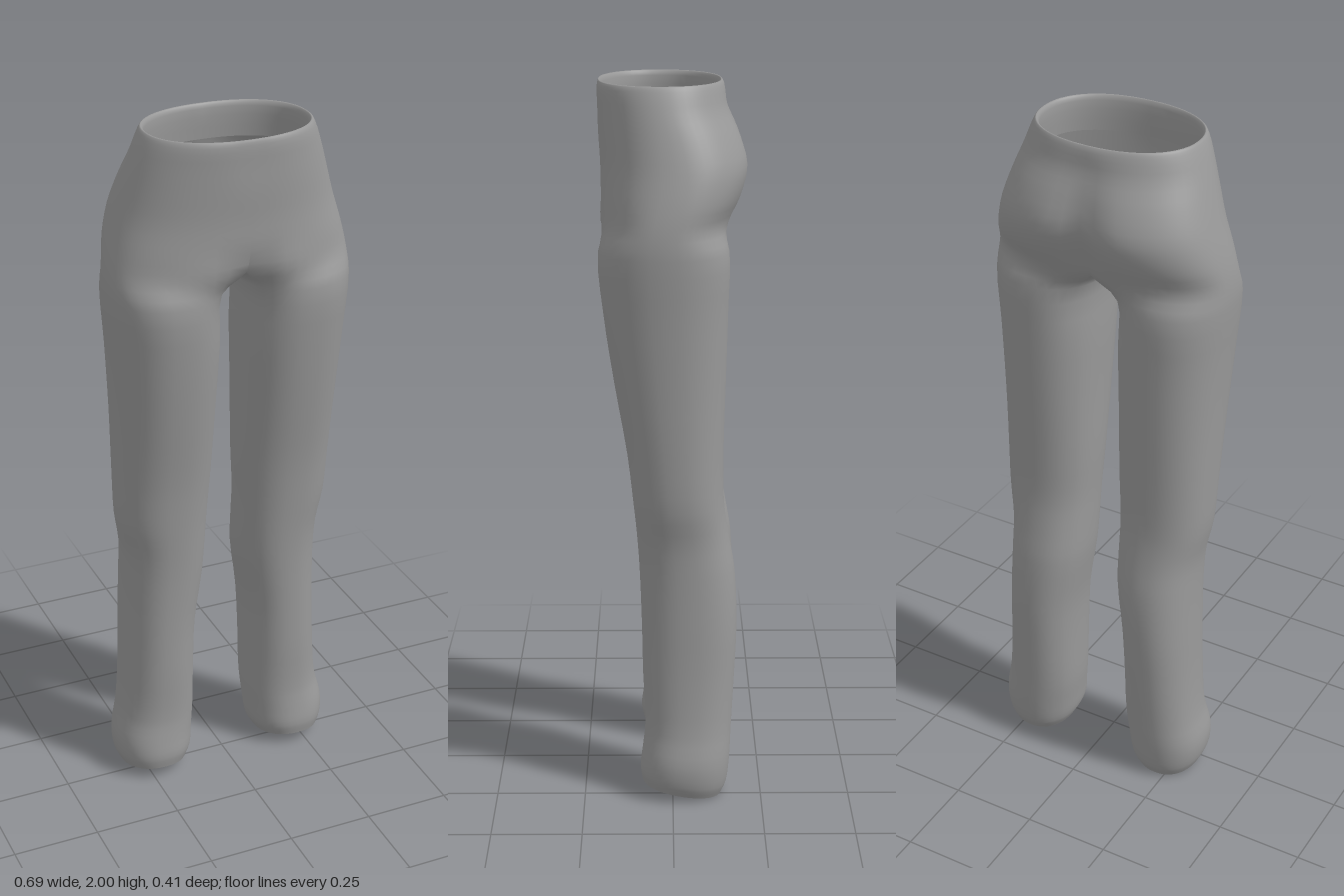
import * as THREE from 'three';
import { mergeVertices } from 'three/addons/utils/BufferGeometryUtils.js';

// hip rows: y, half width, front z, back z, squareness, front dent, back cleft
const HIPS = [
  [1.9, 0.226, 0.19, -0.13, 2.2, 0, 0],
  [1.985, 0.221, 0.193, -0.126, 2.2, 0, 0],
  [2.0, 0.229, 0.2, -0.133, 2.2, 0, 0],
  [1.985, 0.239, 0.207, -0.141, 2.2, 0.003, 0],
  [1.93, 0.26, 0.206, -0.155, 2.2, 0.003, 0.008],
  [1.86, 0.283, 0.202, -0.188, 2.3, 0, 0.022],
  [1.78, 0.307, 0.197, -0.21, 2.4, 0, 0.033],
  [1.7, 0.329, 0.197, -0.19, 2.5, 0.004, 0.035],
  [1.63, 0.342, 0.2, -0.157, 2.5, 0.03, 0.03],
];
// leg rows: y, inner x, outer x, front z, back z
const LEGS = [
  [1.56, 0.03, 0.346, 0.2, -0.152],
  [1.4, 0.035, 0.336, 0.189, -0.15],
  [1.2, 0.041, 0.326, 0.16, -0.145],
  [1.0, 0.046, 0.32, 0.126, -0.14],
  [0.86, 0.054, 0.314, 0.11, -0.142],
  [0.76, 0.057, 0.297, 0.1, -0.156],
  [0.66, 0.062, 0.294, 0.093, -0.173],
  [0.5, 0.084, 0.297, 0.087, -0.18],
  [0.35, 0.09, 0.302, 0.084, -0.174],
  [0.2, 0.092, 0.315, 0.078, -0.166],
  [0.12, 0.1, 0.333, 0.086, -0.161],
  [0.06, 0.108, 0.329, 0.092, -0.152],
  [0.025, 0.125, 0.315, 0.086, -0.138],
];
const OUTER = 28, INNER = 12, SUB = 3, WRAP = 0.9;

const bend = (v, n) => Math.sign(v) * Math.abs(v) ** (2 / n);

function hipPoint([y, w, front, back, n, dent, cleft], t) {
  const a = Math.PI * t;
  const x = t === 0 || t === 1 ? 0 : w * bend(Math.sin(a), n);
  const groove = Math.exp(-((x / 0.06) ** 2));
  let z = (front + back) / 2 + ((front - back) / 2) * bend(Math.cos(a), n);
  z += t < 0.5 ? -dent * groove : cleft * groove;
  return new THREE.Vector3(x, y, z);
}

function legPoint([y, inX, outX, front, back], a) {
  const x = (inX + outX) / 2 + ((outX - inX) / 2) * bend(Math.sin(a), 2.25);
  const z = (front + back) / 2 + ((front - back) / 2) * bend(Math.cos(a), 2.25);
  // the hem slopes down towards the heel
  return new THREE.Vector3(x, y + 0.17 * z * Math.max(0, 1 - Math.max(0, y - 0.06) / 0.14), z);
}

// Smooth vertical strand through the key points of one column
function strand(points) {
  const curve = new THREE.CatmullRomCurve3(points);
  return curve.getPoints((points.length - 1) * SUB);
}

// Columns of one leg half: outer ones run from the waist, inner ones from the crotch seam
function makeColumns() {
  const outer = [], inner = [];
  for (let i = 0; i <= OUTER; i++) {
    const t = i / OUTER, a = -WRAP + (Math.PI + 2 * WRAP) * t;
    outer.push(strand([...HIPS.map(r => hipPoint(r, t)), ...LEGS.map(r => legPoint(r, a))]));
  }
  const last = HIPS[HIPS.length - 1];
  const f = hipPoint(last, 0), b = hipPoint(last, 1);
  for (let i = 1; i < INNER; i++) {
    const t = i / INNER, a = Math.PI + WRAP + (Math.PI - 2 * WRAP) * t;
    const seam = new THREE.Vector3().lerpVectors(b, f, t);
    seam.y -= 0.035 * Math.sin(Math.PI * t);
    inner.push(strand([seam, ...LEGS.map(r => legPoint(r, a))]));
  }
  return { outer, inner };
}

function toGeometry(triangles) {
  const geo = new THREE.BufferGeometry().setFromPoints(triangles);
  const merged = mergeVertices(geo, 1e-5);
  merged.computeVertexNormals();
  return merged;
}

export function createModel() {
  const group = new THREE.Group();
  group.name = 'trousers';
  const cloth = new THREE.MeshStandardMaterial({ color: 0x999999, side: THREE.DoubleSide });
  cloth.name = 'grey cloth';

  const { outer, inner } = makeColumns();
  const crotchRow = (HIPS.length - 1) * SUB;
  const legCols = [
    ...outer.map(c => c.slice(crotchRow)),
    ...inner,
    outer[0].slice(crotchRow),
  ];

  // Adds a triangle on the chosen side, keeping it facing outwards
  const addTri = (list, side, a, b, c) => {
    const tri = side > 0 ? [a, b, c] : [a, c, b];
    tri.forEach(p => list.push(new THREE.Vector3(p.x * side, p.y, p.z)));
  };
  const addSheet = (list, side, cols) => {
    for (let c = 0; c < cols.length - 1; c++) {
      for (let r = 0; r < cols[c].length - 1; r++) {
        const p = cols[c], q = cols[c + 1];
        addTri(list, side, p[r], p[r + 1], q[r]);
        addTri(list, side, q[r], p[r + 1], q[r + 1]);
      }
    }
  };

  // Hips, waist lip and both legs as one smooth skin
  const skin = [];
  for (const side of [1, -1]) {
    addSheet(skin, side, outer.map(c => c.slice(0, crotchRow + 1)));
    addSheet(skin, side, legCols);
  }
  const body = new THREE.Mesh(toGeometry(skin), cloth);
  body.name = 'hipsAndLegs';
  group.add(body);

  // Slightly hollow closing face under each hem
  const hem = legCols.map(c => c[c.length - 1]);
  const centre = new THREE.Vector3();
  hem.slice(0, -1).forEach(p => centre.addScaledVector(p, 1 / (hem.length - 1)));
  const inset = hem.map(p => {
    const q = p.clone().lerp(centre, 0.2);
    q.y += 0.008;
    return q;
  });
  centre.y += 0.012;
  for (const side of [1, -1]) {
    const tris = [];
    for (let i = 0; i < hem.length - 1; i++) {
      addTri(tris, side, hem[i], inset[i], hem[i + 1]);
      addTri(tris, side, hem[i + 1], inset[i], inset[i + 1]);
      addTri(tris, side, centre, inset[i + 1], inset[i]);
    }
    const sole = new THREE.Mesh(toGeometry(tris), cloth);
    sole.name = side > 0 ? 'leftHemBase' : 'rightHemBase';
    group.add(sole);
  }
  return group;
}
